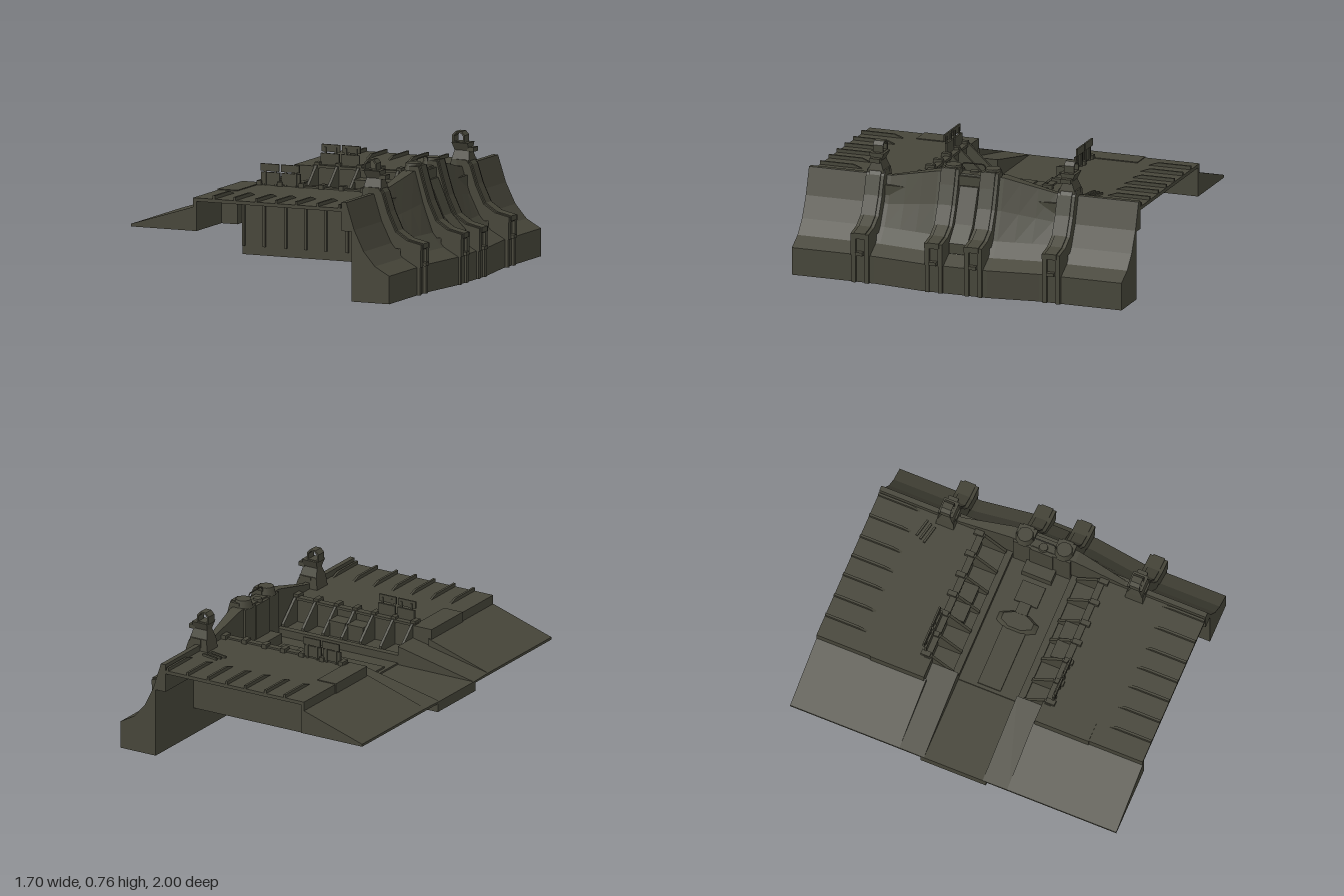
import * as THREE from 'three';
import { ConvexGeometry } from 'three/addons/geometries/ConvexGeometry.js';

const olive = new THREE.MeshStandardMaterial({ color: 0x47463a });
olive.name = 'olive drab';

export function createModel() {
  const model = new THREE.Group();
  model.name = 'trenchFortification';

  const add = (name, geo) => {
    const m = new THREE.Mesh(geo, olive);
    m.name = name;
    model.add(m);
    return m;
  };
  // Box from its bounds, in any order
  const box = (name, x0, x1, y0, y1, z0, z1) => {
    const g = new THREE.BoxGeometry(Math.abs(x1 - x0), Math.abs(y1 - y0), Math.abs(z1 - z0));
    g.translate((x0 + x1) / 2, (y0 + y1) / 2, (z0 + z1) / 2);
    return add(name, g);
  };
  // Side profile (x, y) extruded from z0 to z1
  const profile = (pts, z0, z1, steps = 1, hole = null) => {
    const shape = new THREE.Shape(pts.map(p => new THREE.Vector2(...p)));
    if (hole) shape.holes.push(new THREE.Path(hole.map(p => new THREE.Vector2(...p))));
    const g = new THREE.ExtrudeGeometry(shape, { depth: Math.abs(z1 - z0), steps, bevelEnabled: false });
    return g.translate(0, 0, Math.min(z0, z1));
  };
  const hull = (name, pts) => add(name, new ConvexGeometry(pts.map(p => new THREE.Vector3(...p))));
  const clamp = THREE.MathUtils.clamp;

  // Curved front wall, taller and further out towards the middle
  const wall = profile([[0.535, 0], [0.77, 0], [0.77, 0.16], [0.68, 0.21], [0.61, 0.29], [0.55, 0.41],
    [0.5, 0.565], [0.47, 0.565], [0.47, 0.4], [0.535, 0.4]], -1, 1, 20);
  const p = wall.attributes.position;
  for (let i = 0; i < p.count; i++) {
    const k = clamp((0.5 - Math.abs(p.getZ(i))) / 0.3, 0, 1);
    const x = p.getX(i), y = p.getY(i);
    if (x > 0.545 || (x > 0.49 && y > 0.5)) p.setX(i, x + 0.04 * k);
    if (y > 0.405) p.setY(i, y + 0.07 * k * clamp((y - 0.16) / 0.41, 0, 1));
  }
  wall.computeVertexNormals();
  add('frontWall', wall);

  // Trench floor, with a deeper strip along the middle; the body is open below
  box('trenchFloor', -0.34, 0.535, 0.34, 0.36, -0.6, 0.6);
  box('floorStrip', -0.85, 0.535, 0.29, 0.35, -0.2, 0.2);
  box('floorPanel', -0.32, 0.05, 0.36, 0.37, -0.07, 0.07);
  const hub = new THREE.CylinderGeometry(0.1, 0.13, 0.03, 8);
  hub.rotateY(Math.PI / 8).scale(0.5, 1, 1).translate(0.1, 0.375, 0);
  hub.computeVertexNormals();
  add('floorHub', hub);
  box('floorLink', 0.14, 0.22, 0.36, 0.385, -0.035, 0.035);
  box('frontPanel', 0.22, 0.35, 0.36, 0.37, -0.07, 0.07);

  const ribX = [-0.33, -0.2, -0.065, 0.06, 0.185, 0.32, 0.455];

  for (const s of [1, -1]) {
    // Raised deck, overhanging the body
    box('deck', -0.46, 0.5, 0.51, 0.53, s * 0.36, s);
    box('bodySide', -0.34, 0.535, 0.35, 0.515, s * 0.36, s * 0.6);
    box('skirt', -0.34, 0.535, 0.16, 0.35, s * 0.565, s * 0.6);
    box('rearBeam', -0.465, -0.34, 0.34, 0.535, s * 0.34, s * 0.67);
    box('deckEndTrim', -0.46, -0.44, 0.34, 0.53, s * 0.67, s);
    box('trenchLip', -0.35, 0.46, 0.525, 0.54, s * 0.35, s * 0.39);
    box('trenchStep', -0.35, 0.47, 0.35, 0.39, s * 0.18, s * 0.36);
    box('trenchKerb', -0.35, 0.47, 0.35, 0.405, s * 0.18, s * 0.22);

    // Rear ramp and the lower slope beside the path
    add('rearRamp', profile([[-0.85, 0.34], [-0.45, 0.34], [-0.45, 0.48], [-0.85, 0.355]], s * 0.33, s));
    hull('pathSlope', [[-0.85, 0.34, s * 0.34], [-0.85, 0.34, s * 0.18], [-0.34, 0.34, s * 0.18],
      [-0.34, 0.34, s * 0.34], [-0.85, 0.355, s * 0.34], [-0.85, 0.35, s * 0.18], [-0.46, 0.43, s * 0.18],
      [-0.34, 0.46, s * 0.18], [-0.34, 0.46, s * 0.34]]);

    ribX.forEach(x => {
      // Trench buttresses and their lip clamps
      hull('trenchButtress', [x - 0.008, x + 0.008].flatMap(v => [[v, 0.38, s * 0.215], [v, 0.42, s * 0.215],
        [v, 0.38, s * 0.37], [v, 0.54, s * 0.37], [v, 0.54, s * 0.345]]));
      box('lipClamp', x - 0.015, x + 0.015, 0.52, 0.555, s * 0.355, s * 0.41);
      // Fins along the outer edge of the deck
      hull('deckFin', [x - 0.007, x + 0.007].flatMap(v => [[v, 0.525, s * 0.73], [v, 0.55, s * 0.8],
        [v, 0.55, s], [v, 0.51, s], [v, 0.51, s * 0.73]]));
      // Upright bars on the left side of the body
      if (s > 0) box('sideBar', x - 0.007, x + 0.007, 0.21, 0.515, 0.59, 0.615);
    });

    // Two shield panels on the trench lip, each in two rows
    for (const x of [-0.32, -0.192]) {
      box('shieldLower', x, x + 0.115, 0.54, 0.605, s * 0.385, s * 0.397);
      box('shieldUpper', x, x + 0.115, 0.613, 0.655, s * 0.397, s * 0.407);
      for (const dx of [0.02, 0.085]) box('shieldStrut', x + dx, x + dx + 0.012, 0.53, 0.64, s * 0.392, s * 0.402);
    }

    // Stowage in the trench bays
    for (const x of [-0.05, 0.072]) {
      box('stowageBox', x, x + 0.1, 0.38, 0.47, s * 0.27, s * 0.355);
      box('stowageLid', x - 0.004, x + 0.104, 0.47, 0.485, s * 0.265, s * 0.355);
    }

    // Buttresses down the front wall: an inner and an outer one on each side
    for (const [z, dx, top] of [[0.12, 0, 0.66], [0.58, -0.035, 0.6]]) {
      const path = [[0.5, 0.42], [0.5, top], [0.56, top], [0.585, 0.57], [0.62, 0.46], [0.67, 0.355],
        [0.74, 0.31], [0.83, 0.29], [0.83, 0.26], [0.65, 0.26]].map(([x, y]) => [x + dx, y]);
      add('wallButtress', profile(path, s * (z - 0.055), s * (z + 0.055)));
      add('buttressSpine', profile(path.map(([x, y]) => [x + 0.006, y + 0.005]), s * (z - 0.035), s * (z + 0.035)));
      for (const t of [-1, 1]) {
        const c = s * z + t * 0.04;
        box('footCheek', 0.7 + dx, 0.828 + dx, 0.16, 0.29, c - 0.014, c + 0.014);
        box('footRail', 0.75 + dx, 0.822 + dx, 0, 0.17, c - 0.012, c + 0.012);
      }
      box('footCore', 0.7 + dx, 0.812 + dx, 0.16, 0.28, s * z - 0.026, s * z + 0.026);
      box('footLatch', 0.8 + dx, 0.845 + dx, 0.165, 0.185, s * z - 0.022, s * z + 0.022);
    }

    // Rounded head on each inner buttress
    const head = new THREE.CylinderGeometry(0.045, 0.058, 0.05, 10);
    head.translate(0.505, 0.65, s * 0.12);
    add('buttressHead', head);
    box('headBase', 0.455, 0.54, 0.36, 0.63, s * 0.065, s * 0.175);

    // Lamp post on each outer buttress
    const zc = s * 0.58;
    const block = (name, x0, x1, y0, w0, X0, X1, y1, w1) => hull(name, [-1, 1].flatMap(t => [
      [x0, y0, zc + t * w0], [x1, y0, zc + t * w0], [X0, y1, zc + t * w1], [X1, y1, zc + t * w1]]));
    block('postBase', 0.42, 0.54, 0.53, 0.055, 0.43, 0.54, 0.6, 0.05);
    block('postNeck', 0.43, 0.54, 0.6, 0.045, 0.44, 0.53, 0.65, 0.026);
    block('postCap', 0.44, 0.53, 0.65, 0.026, 0.43, 0.53, 0.695, 0.046);
    add('lampHood', profile([[0.427, 0.69], [0.505, 0.69], [0.505, 0.735], [0.485, 0.757], [0.447, 0.757], [0.427, 0.735]],
      zc - 0.03, zc + 0.03, 1, [[0.437, 0.698], [0.437, 0.73], [0.451, 0.747], [0.481, 0.747], [0.495, 0.73], [0.495, 0.698]]));
    box('postVisor', 0.52, 0.56, 0.645, 0.67, zc - 0.03, zc + 0.03);
  }

  // Parapet between the inner buttresses, with hatch and grab rail
  box('parapet', 0.45, 0.56, 0.36, 0.625, -0.07, 0.07);
  add('hatch', profile([[0.55, 0.57], [0.575, 0.57], [0.66, 0.37], [0.75, 0.28], [0.75, 0.22], [0.6, 0.22]], -0.055, 0.055));
  const knob = new THREE.CylinderGeometry(0.025, 0.03, 0.02, 10);
  knob.translate(0.485, 0.633, 0);
  add('parapetKnob', knob);
  const railPath = new THREE.CatmullRomCurve3([[0.65, -0.075], [0.675, -0.07], [0.687, -0.055], [0.687, 0.055],
    [0.675, 0.07], [0.65, 0.075]].map(([y, z]) => new THREE.Vector3(0.5, y, z)), false, 'catmullrom', 0.2);
  add('grabRail', new THREE.TubeGeometry(railPath, 24, 0.004, 6));
  box('trenchHeadStep', 0.38, 0.47, 0.35, 0.42, -0.09, 0.09);

  // Loose planks on the deck
  for (let i = 0; i < 3; i++) {
    const plank = add('plank', new THREE.BoxGeometry(0.11, 0.012, 0.012));
    plank.position.set(0.34 + i * 0.012, 0.536, -0.64 - i * 0.027);
    plank.rotation.y = -0.22;
  }

  return model;
}
